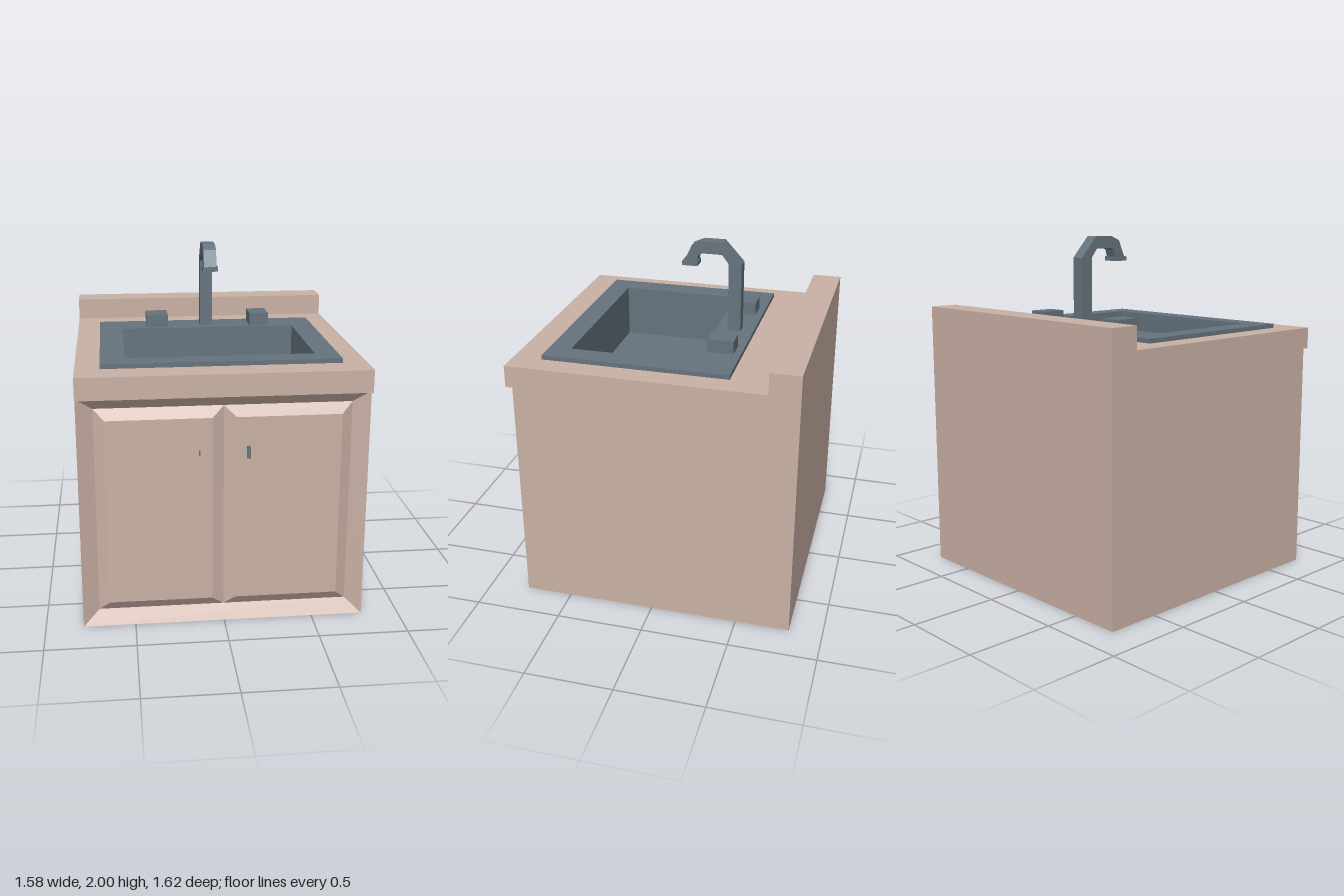
import * as THREE from 'three';

const cabinetMat = new THREE.MeshStandardMaterial({ name: 'cabinetBeige', color: 0xcbb2a6, side: THREE.DoubleSide });
const metalMat = new THREE.MeshStandardMaterial({ name: 'sinkSlate', color: 0x66747e, side: THREE.DoubleSide });

// Flat-shaded geometry from quads, corners counter-clockwise
function quads(list) {
  const pos = [];
  for (const [a, b, c, d] of list) pos.push(...a, ...b, ...c, ...a, ...c, ...d);
  const g = new THREE.BufferGeometry();
  g.setAttribute('position', new THREE.Float32BufferAttribute(pos, 3));
  g.computeVertexNormals();
  return g;
}

// Four bands between two rectangles [x0, x1, y0, y1, z] facing +z
const corners = ([x0, x1, y0, y1, z]) => [[x0, y0, z], [x1, y0, z], [x1, y1, z], [x0, y1, z]];
function bands(outer, inner) {
  const o = corners(outer), i = corners(inner);
  return [0, 1, 2, 3].map(k => [o[k], o[(k + 1) % 4], i[(k + 1) % 4], i[k]]);
}

// Horizontal rectangle with a rectangular hole, facing up
function ringShape(x0, x1, z0, z1, h) {
  const rect = (a, b, c, d) => [[a, -d], [b, -d], [b, -c], [a, -c]].map(p => new THREE.Vector2(...p));
  const s = new THREE.Shape(rect(x0, x1, z0, z1));
  s.holes.push(new THREE.Path(rect(...h)));
  return s;
}

const shapeOf = pts => new THREE.Shape(pts.map(p => new THREE.Vector2(...p)));

export function createModel() {
  const model = new THREE.Group();
  model.name = 'sinkCabinet';
  const add = (name, geo, mat, x = 0, y = 0, z = 0) => {
    const m = new THREE.Mesh(geo, mat);
    m.name = name;
    m.position.set(x, y, z);
    model.add(m);
    return m;
  };
  const box = (name, mat, x0, x1, y0, y1, z0, z1) =>
    add(name, new THREE.BoxGeometry(x1 - x0, y1 - y0, z1 - z0), mat, (x0 + x1) / 2, (y0 + y1) / 2, (z0 + z1) / 2);

  const X = 0.79, TOP = 1.455, RIM = 1.48, FLOOR = 1.17;
  const hole = [-0.52, 0.525, -0.19, 0.52];

  // Cabinet shell: side profile (z, y) swept across the width
  const profile = [[0.77, 0], [0.77, 1.33], [0.81, 1.33], [0.81, TOP], [-0.64, TOP], [-0.64, 1.58], [-0.81, 1.58], [-0.81, 0]];
  const strips = [];
  profile.forEach((p, i) => {
    if (i === 0 || i === 3) return; // doors and pierced worktop are separate
    const q = profile[(i + 1) % profile.length];
    strips.push([[-X, p[1], p[0]], [X, p[1], p[0]], [X, q[1], q[0]], [-X, q[1], q[0]]]);
  });
  add('cabinetShell', quads(strips), cabinetMat);
  for (const s of [-1, 1]) {
    const side = new THREE.ShapeGeometry(shapeOf(profile)).rotateY(-Math.PI / 2);
    add(s > 0 ? 'leftSide' : 'rightSide', side, cabinetMat, s * X);
  }
  const worktop = new THREE.ShapeGeometry(ringShape(-X, X, -0.64, 0.81, hole)).rotateX(-Math.PI / 2);
  add('worktop', worktop, cabinetMat, 0, TOP);

  // Door front: sloped frame, groove, two raised panels
  const grooveZ = 0.72, panelZ = 0.755;
  const front = bands([-X, X, 0, 1.33, 0.77], [-0.7, 0.7, 0.08, 1.26, grooveZ]);
  for (const [g0, g1, p0, p1] of [[-0.7, 0, -0.64, -0.065], [0, 0.7, 0.065, 0.64]]) {
    const panel = [p0, p1, 0.135, 1.2, panelZ];
    front.push(...bands([g0, g1, 0.08, 1.26, grooveZ], panel), corners(panel));
  }
  add('doors', quads(front), cabinetMat);

  // Door pulls, almost flush with the panels
  box('leftDoorPull', metalMat, 0.122, 0.143, 0.965, 1.035, panelZ - 0.004, panelZ + 0.004);
  box('rightDoorPull', metalMat, -0.14, -0.13, 0.99, 1.02, panelZ - 0.004, panelZ + 0.004);

  // Sink rim
  const rim = new THREE.ExtrudeGeometry(ringShape(-0.655, 0.655, -0.41, 0.645, hole), { depth: RIM - TOP, bevelEnabled: false });
  add('sinkRim', rim.rotateX(-Math.PI / 2), metalMat, 0, TOP);

  // Basin: four walls facing inward and a floor
  const [x0, x1, z0, z1] = hole;
  const loop = y => [[x0, y, z1], [x1, y, z1], [x1, y, z0], [x0, y, z0]];
  const lo = loop(FLOOR), hi = loop(TOP);
  const basin = [0, 1, 2, 3].map(k => [lo[(k + 1) % 4], lo[k], hi[k], hi[(k + 1) % 4]]);
  basin.push(lo);
  add('basin', quads(basin), metalMat);

  // Tap handles
  box('rightTapHandle', metalMat, -0.37, -0.24, RIM, 1.555, -0.37, -0.22);
  box('leftTapHandle', metalMat, 0.265, 0.38, RIM, 1.555, -0.37, -0.22);

  // Faucet: angular gooseneck outline (z, y) given thickness across x
  const neck = shapeOf([
    [-0.335, RIM], [-0.26, RIM], [-0.26, 1.88], [-0.22, 1.93], [-0.11, 1.93], [-0.085, 1.92], [-0.07, 1.875],
    [0, 1.875], [-0.045, 1.975], [-0.105, 2], [-0.225, 2], [-0.335, 1.88],
  ]);
  const faucet = new THREE.ExtrudeGeometry(neck, { depth: 0.075, bevelEnabled: false });
  add('faucetNeck', faucet.translate(0, 0, -0.0375).rotateY(-Math.PI / 2), metalMat);
  box('faucetNozzle', metalMat, -0.045, 0.045, 1.855, 1.88, -0.08, 0.01);

  return model;
}
